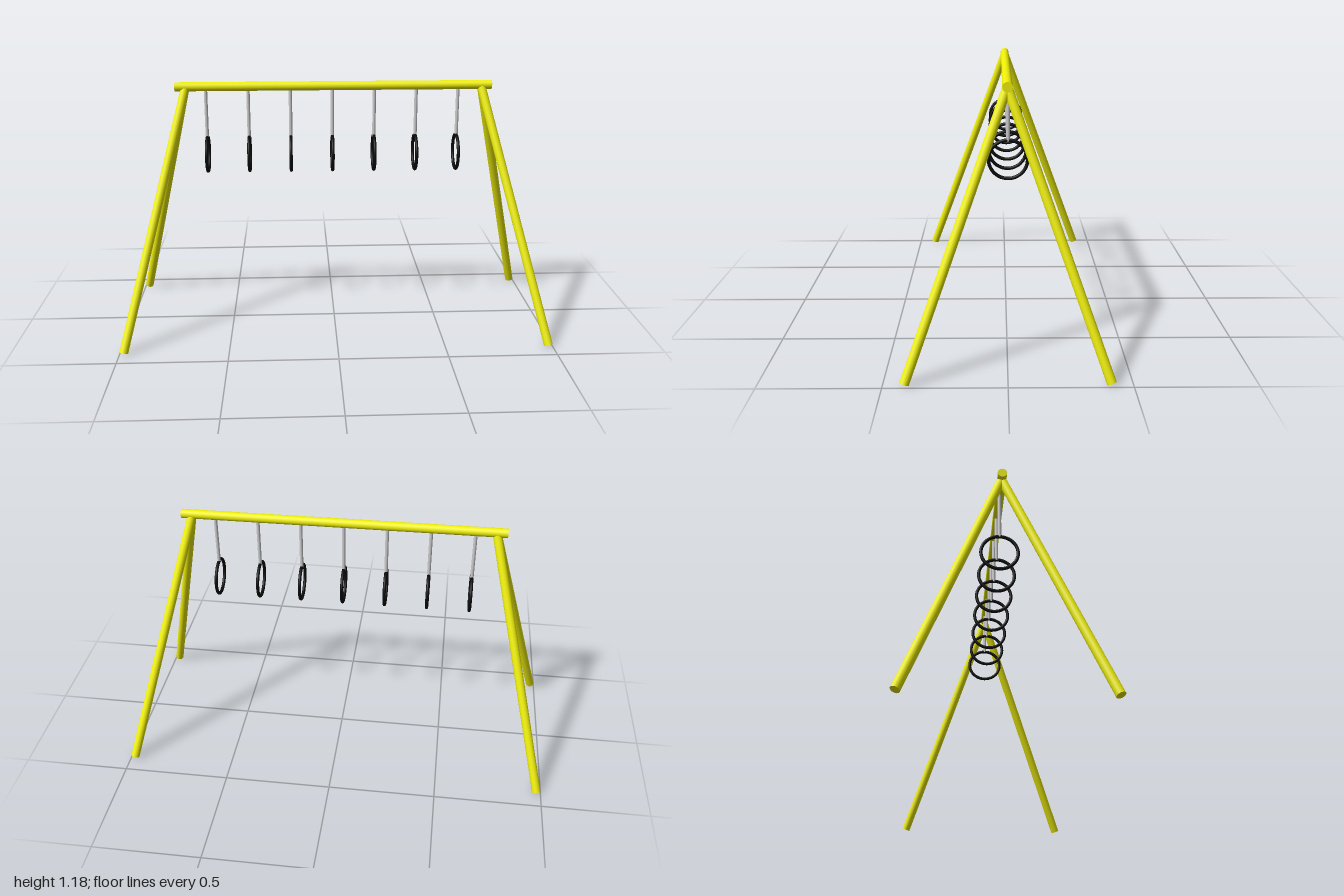
import * as THREE from 'three';

const yellow = new THREE.MeshStandardMaterial({ color: 0xf0f00a });
const grey = new THREE.MeshStandardMaterial({ color: 0xcccccc });
const black = new THREE.MeshStandardMaterial({ color: 0x0a0a0a });

// Round bar running between two points
function bar(name, from, to, radius, material) {
  const a = new THREE.Vector3(...from);
  const b = new THREE.Vector3(...to);
  const dir = b.clone().sub(a);
  const mesh = new THREE.Mesh(new THREE.CylinderGeometry(radius, radius, dir.length(), 32), material);
  mesh.name = name;
  mesh.position.copy(a).add(b).multiplyScalar(0.5);
  mesh.quaternion.setFromUnitVectors(new THREE.Vector3(0, 1, 0), dir.normalize());
  return mesh;
}

export function createModel() {
  const model = new THREE.Group();
  model.name = 'hangingRingFrame';
  const beamY = 1.16;

  // Top beam
  model.add(bar('topBeam', [-0.74, beamY, 0], [0.74, beamY, 0], 0.021, yellow));

  // Four splayed legs
  for (const sx of [-1, 1]) {
    for (const sz of [-1, 1]) {
      const name = (sz > 0 ? 'front' : 'back') + (sx > 0 ? 'Left' : 'Right') + 'Leg';
      model.add(bar(name, [sx * 0.98, 0.01, sz * 0.413], [sx * 0.692, beamY - 0.005, 0], 0.02, yellow));
    }
  }

  // Seven hanging rings, each on a thin rod
  const ringGeometry = new THREE.TorusGeometry(0.082, 0.0075, 16, 48);
  for (let i = 0; i < 7; i++) {
    const hanger = new THREE.Group();
    hanger.name = 'hanger' + (i + 1);
    hanger.position.set(-0.008 + (i - 3) * 0.197, 0, -0.004);
    hanger.add(bar('rod', [0, 0.915, 0], [0, beamY, 0], 0.008, grey));
    const ring = new THREE.Mesh(ringGeometry, black);
    ring.name = 'ring';
    ring.position.y = 0.837;
    ring.rotation.y = Math.PI / 2;
    hanger.add(ring);
    model.add(hanger);
  }
  return model;
}
